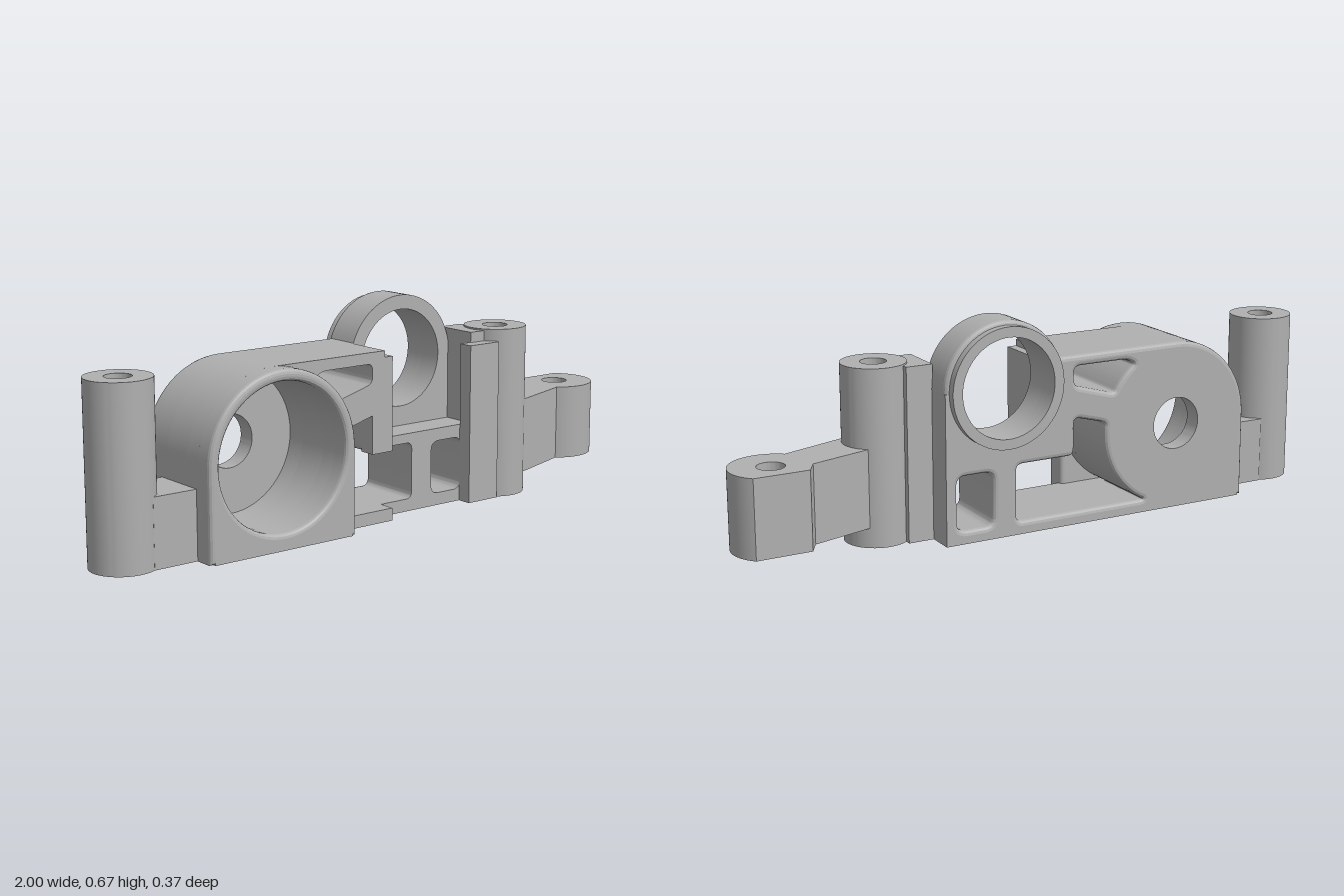
import * as THREE from 'three';
import { toCreasedNormals } from 'three/addons/utils/BufferGeometryUtils.js';

const MOTOR = { x: -0.447, y: 0.275, r: 0.26, hole: 0.083 };
const RING = { x: 0.163, y: 0.468, r: 0.2, bore: 0.155 };
const LEFT = RING.x + RING.r;
const RIGHT = MOTOR.x - MOTOR.r;
const TOP = MOTOR.y + MOTOR.r;

const circle = (x, y, r) => new THREE.Path().absarc(x, y, r, 0, Math.PI * 2, false);
const disc = (x, y, r) => new THREE.Shape().absarc(x, y, r, 0, Math.PI * 2, false);

// Points along an arc, given by start and end angle
function arc(c, r, a0, a1, n = 14) {
  return Array.from({ length: n + 1 }, (_, i) => {
    const a = a0 + (a1 - a0) * i / n;
    return [c.x + r * Math.cos(a), c.y + r * Math.sin(a)];
  });
}

const polygon = (pts) => new THREE.Shape(pts.map(([x, y]) => new THREE.Vector2(x, y)));

// Counter-clockwise opening with every corner rounded
function roundedPath(pts, r) {
  const v = pts.map(([x, y]) => new THREE.Vector2(x, y));
  const path = new THREE.Path();
  v.forEach((p, i) => {
    const a = v[(i + v.length - 1) % v.length], b = v[(i + 1) % v.length];
    const toward = (q) => p.clone().lerp(q, Math.min(0.45, r / p.distanceTo(q)));
    const s = toward(a), e = toward(b);
    if (i) path.lineTo(s.x, s.y); else path.moveTo(s.x, s.y);
    path.quadraticCurveTo(p.x, p.y, e.x, e.y);
  });
  path.closePath();
  return path;
}

export function createModel() {
  const model = new THREE.Group();
  const grey = new THREE.MeshStandardMaterial({ color: 0xb0b0b0 });
  grey.name = 'grey';

  function add(name, geometry) {
    const mesh = new THREE.Mesh(toCreasedNormals(geometry, 0.25), grey);
    mesh.name = name;
    model.add(mesh);
  }

  // Slab standing in the xy plane between two depths, optionally with rounded rims
  function slab(name, shape, holes, z0, z1, bevel = 0) {
    shape.holes = holes;
    const g = new THREE.ExtrudeGeometry(shape, {
      depth: z1 - z0 - 2 * bevel, curveSegments: 32, bevelEnabled: bevel > 0,
      bevelSize: bevel, bevelThickness: bevel, bevelOffset: -bevel, bevelSegments: 3,
    });
    add(name, g.translate(0, 0, z0 + bevel));
  }

  // Upright prism from a plan drawn as (x, -z)
  function upright(name, shape, y0, y1) {
    const g = new THREE.ExtrudeGeometry(shape, { depth: y1 - y0, curveSegments: 32, bevelEnabled: false });
    add(name, g.rotateX(-Math.PI / 2).translate(0, y0, 0));
  }

  function box(name, x0, x1, y0, y1, z0, z1) {
    add(name, new THREE.BoxGeometry(x1 - x0, y1 - y0, z1 - z0)
      .translate((x0 + x1) / 2, (y0 + y1) / 2, (z0 + z1) / 2));
  }

  // Openings that run through the body
  const angleAt = (y) => Math.asin((y - MOTOR.y) / MOTOR.r);
  const mainEdge = arc(MOTOR, MOTOR.r, angleAt(0.31), angleAt(0.04));
  const mainWindow = () => roundedPath([[0.123, 0.04], [0.123, 0.22],
    [-0.078, 0.22], [-0.078, 0.34], ...mainEdge], 0.022);
  const topWindow = () => roundedPath([[-0.078, 0.44], [-0.078, 0.5], [-0.265, 0.5],
    ...arc(MOTOR, MOTOR.r, angleAt(0.485), angleAt(0.4), 5)], 0.02);
  const smallWindow = () => roundedPath([[0.203, 0.04], [0.325, 0.04], [0.325, 0.21], [0.203, 0.21]], 0.03);
  const motorBore = () => circle(MOTOR.x, MOTOR.y, 0.225);
  const ringBore = () => circle(RING.x, RING.y, RING.bore);

  // Body outlines, clockwise from the lower outer corner
  const arch = [[RIGHT, 0], ...arc(MOTOR, MOTOR.r, Math.PI, Math.PI / 2, 28)];
  const ringStart = Math.PI - Math.asin((TOP - RING.y) / RING.r);
  const full = [...arch, ...arc(RING, RING.r, ringStart, 0, 36), [LEFT, 0]];
  const shoulder = [[-0.03, TOP], [-0.03, 0.515], [0, 0.515]];

  // Body: back plate, ring layer, ledge layer and front rim
  slab('backPlate', polygon(full),
    [circle(MOTOR.x, MOTOR.y, MOTOR.hole), ringBore(), mainWindow(), topWindow(), smallWindow()], -0.16, -0.1, 0.015);
  slab('ringBody', polygon(full),
    [motorBore(), ringBore(), mainWindow(), topWindow(), smallWindow()], -0.115, -0.035);
  slab('ledgeBody', polygon([...arch, ...shoulder, [0, 0.25], [LEFT, 0.25], [LEFT, 0]]),
    [motorBore(), mainWindow(), topWindow(), smallWindow()], -0.035, 0.07);
  slab('frontBody', polygon([...arch, ...shoulder, [0, 0.22], [-0.078, 0.22], [-0.078, 0.34],
    ...mainEdge, [0, 0.04], [0, 0]]),
    [motorBore(), topWindow()], 0.07, 0.125);

  // Arched collar around the large bore
  slab('motorCollar', polygon([[RIGHT, 0], ...arc(MOTOR, MOTOR.r, Math.PI, 0, 48), [MOTOR.x + MOTOR.r, 0]]),
    [motorBore()], 0.11, 0.185, 0.014);

  // Square edges along the foot and the left end, and the sharp rim of the shaft hole
  box('backFoot', RIGHT + 0.015, LEFT, 0, 0.025, -0.16, -0.1);
  box('collarFoot', RIGHT + 0.014, MOTOR.x + MOTOR.r - 0.014, 0, 0.025, 0.13, 0.185);
  box('leftEdge', LEFT - 0.02, LEFT, 0, RING.y, -0.16, -0.1);
  slab('shaftHoleRim', disc(MOTOR.x, MOTOR.y, 0.115),
    [circle(MOTOR.x, MOTOR.y, MOTOR.hole)], -0.16, -0.1);

  // Lip on the back of the bearing ring
  slab('ringLip', disc(RING.x, RING.y, 0.187), [ringBore()], -0.185, -0.14);

  // Screw posts and the pieces joining them to the body
  for (const [name, x] of [['rightPost', -0.9], ['leftPost', 0.505]]) {
    const plan = disc(x, -0.028, 0.1);
    plan.holes = [circle(x, -0.028, 0.04)];
    upright(name, plan, 0, 0.548);
  }
  box('rightWeb', -0.85, -0.7, 0, 0.212, -0.065, 0.115);
  box('leftBlock', 0.36, 0.445, 0, 0.543, -0.072, 0.075);
  box('leftRib', 0.322, 0.442, 0, 0.51, 0.07, 0.118);

  // Side arm ending in a drilled lug
  const lug = { x: 0.874, y: 0.07 };
  const arm = polygon([[0.56, -0.1], [0.59, -0.095],
    ...arc(lug, 0.126, -2.27, 0.8, 36), [0.79, 0.16], [0.76, 0.108], [0.56, 0.052]]);
  arm.holes = [circle(lug.x, lug.y, 0.042)];
  upright('sideArm', arm, 0.062, 0.305);

  return model;
}
